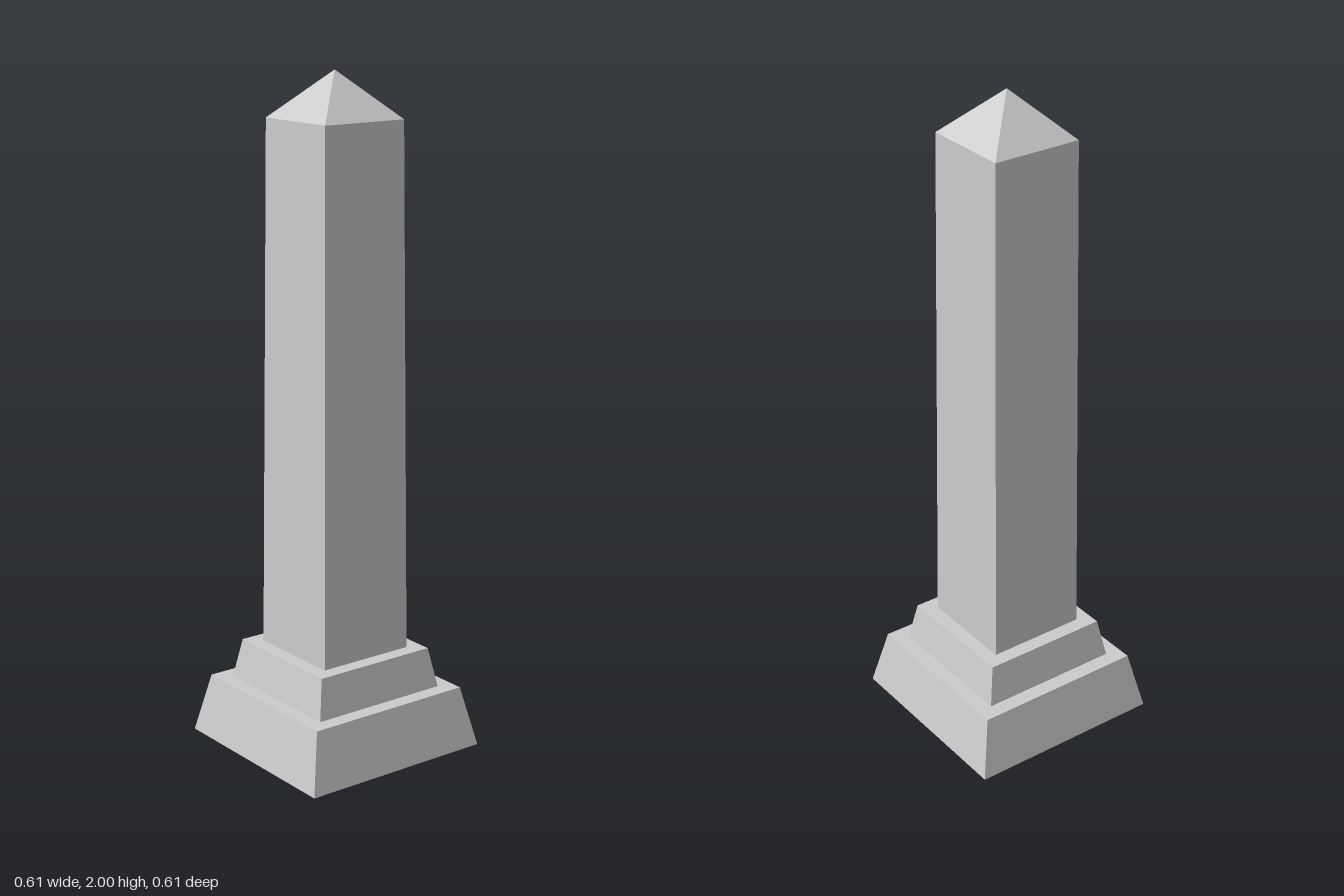
import * as THREE from 'three';

const material = new THREE.MeshStandardMaterial({
  color: 0xcccccc, flatShading: true, side: THREE.DoubleSide,
});

// Square shell swept from [halfWidth, y] points, listed from bottom to top
function squareShell(name, profile) {
  const points = profile.map(([half, y]) => new THREE.Vector2(half * Math.SQRT2, y));
  const geometry = new THREE.LatheGeometry(points, 4, Math.PI / 4).toNonIndexed();
  geometry.computeVertexNormals();
  const mesh = new THREE.Mesh(geometry, material);
  mesh.name = name;
  return mesh;
}

export function createModel() {
  const obelisk = new THREE.Group();
  obelisk.name = 'obelisk';

  // Hollow stepped plinth: each tier is a sloped wall plus the ledge on top of it
  obelisk.add(squareShell('lowerPlinth', [[0.306, 0], [0.267, 0.18], [0.22, 0.18]]));
  obelisk.add(squareShell('upperPlinth', [[0.22, 0.18], [0.198, 0.3], [0.153, 0.3]]));

  // Slightly tapering shaft
  obelisk.add(squareShell('shaft', [[0.153, 0.3], [0.138, 1.865]]));

  // Pyramid tip
  const tipHeight = 2 - 1.865;
  const tip = new THREE.Mesh(
    new THREE.ConeGeometry(0.138 * Math.SQRT2, tipHeight, 4, 1, true, Math.PI / 4), material);
  tip.position.y = 1.865 + tipHeight / 2;
  tip.name = 'pyramidTip';
  obelisk.add(tip);

  return obelisk;
}
